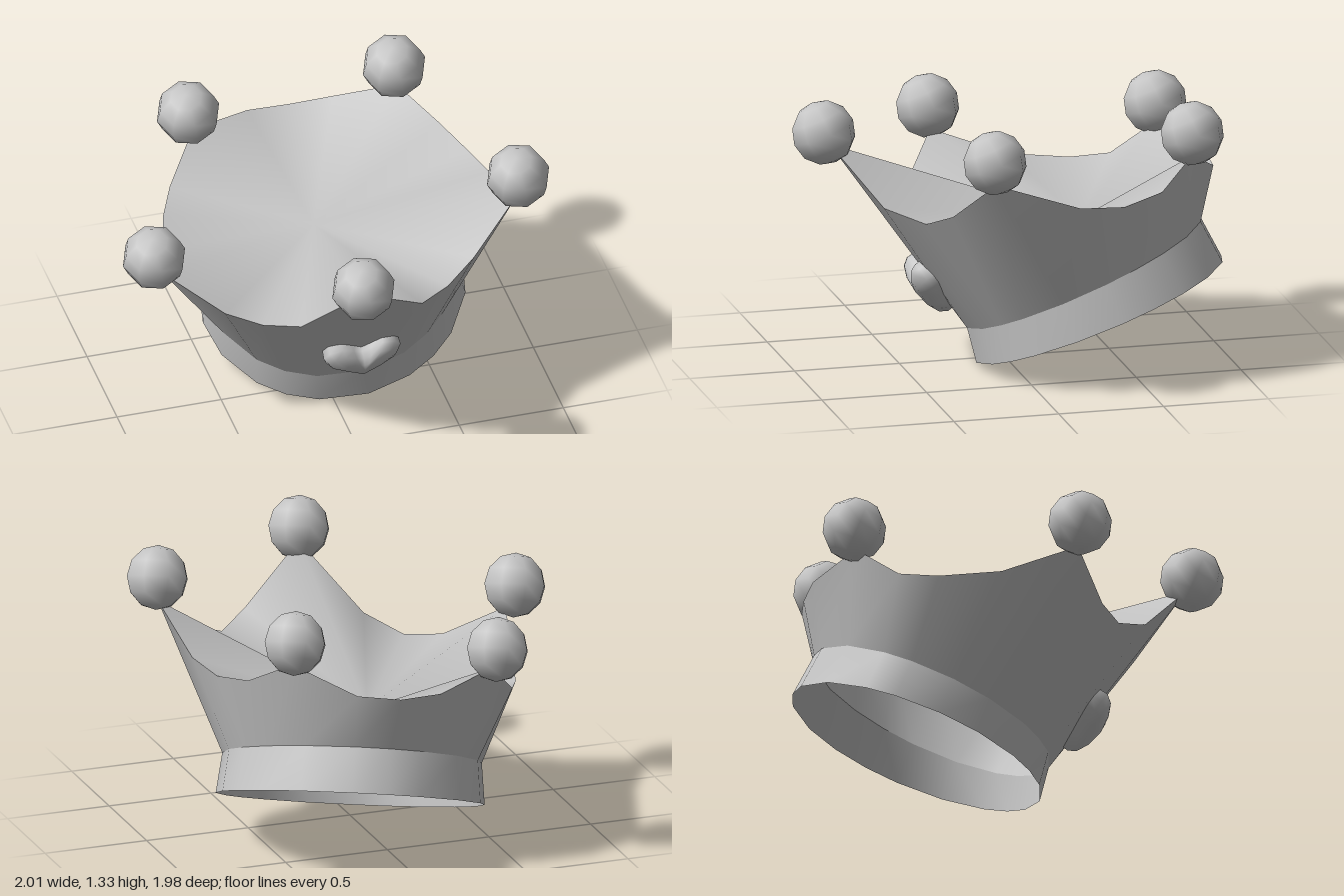
import * as THREE from 'three';

const V = (x, y, z) => new THREE.Vector3(x, y, z);
const axis = V(-0.175, 0.923, 0.342).normalize(); // the crown is tipped back and to one side
const base = V(0.15, 0.235, -0.41); // middle of the bottom opening

// Surface through a list of loops; an optional apex closes the last one
function loft(loops, apex) {
  const n = loops[0].length;
  const points = loops.flat();
  const index = [];
  for (let k = 0; k < loops.length - 1; k++) {
    for (let i = 0; i < n; i++) {
      const a = k * n + i, b = k * n + (i + 1) % n;
      index.push(a, b, b + n, a, b + n, a + n);
    }
  }
  if (apex) {
    const last = (loops.length - 1) * n;
    for (let i = 0; i < n; i++) index.push(last + i, last + (i + 1) % n, points.length);
    points.push(apex);
  }
  const g = new THREE.BufferGeometry().setFromPoints(points);
  g.setIndex(index);
  g.computeVertexNormals();
  return g;
}

// Rim: each row is a peak followed by the three points of its valley
const rim = [
  [-0.05, 1.06, 0.82], [0.28, 0.83, 0.645], [0.45, 0.79, 0.49], [0.6, 0.86, 0.4],
  [0.85, 1.07, 0.26], [0.83, 0.925, -0.15], [0.79, 0.905, -0.37], [0.71, 0.94, -0.57],
  [0.56, 1.06, -0.75], [0.3, 0.93, -0.92], [0.1, 0.9, -0.955], [-0.1, 0.905, -0.955],
  [-0.4, 0.95, -0.82], [-0.56, 0.77, -0.65], [-0.64, 0.74, -0.48], [-0.72, 0.755, -0.2],
  [-0.82, 0.87, 0.14], [-0.57, 0.71, 0.31], [-0.42, 0.69, 0.42], [-0.28, 0.76, 0.576],
].map((p) => V(...p));

// Circle around the axis, lined up with the rim points; slant lowers its front
function ringLoop(height, radius, slant) {
  return rim.map((p) => {
    const out = p.clone().sub(base).projectOnPlane(axis).normalize();
    const h = height + slant * (0.3 * out.x - out.z);
    return base.clone().addScaledVector(axis, h).addScaledVector(out, radius);
  });
}

// Pillowy heart, tip down
function heartGeometry() {
  const half = [[0, -0.168], [0.06, -0.105], [0.12, -0.045], [0.17, 0.01], [0.182, 0.06], [0.155, 0.115], [0.095, 0.13], [0.04, 0.095]];
  const outline = [...half, [0, 0.065], ...half.slice(1).reverse().map(([x, y]) => [-x, y])];
  const loop = (s, z) => outline.map(([x, y]) => V(x * s, y * s, z));
  return loft([loop(0.98, -0.05), loop(1, 0.01), loop(0.85, 0.045), loop(0.5, 0.07)], V(0, 0, 0.08));
}

export function createModel() {
  const crown = new THREE.Group();
  crown.name = 'crown';
  const silver = new THREE.MeshStandardMaterial({ color: 0xc4c4c4, side: THREE.DoubleSide });
  silver.name = 'silver grey';
  const add = (name, geometry) => {
    const mesh = new THREE.Mesh(geometry, silver);
    mesh.name = name;
    crown.add(mesh);
    return mesh;
  };

  // Band, flared wall and the sunken lining inside the points
  const waist = ringLoop(0.19, 0.6, 0.025);
  add('baseBand', loft([ringLoop(0, 0.622, 0), waist]));
  add('crownWall', loft([waist, rim]));
  add('innerLining', loft([rim], V(0.045, 0.645, -0.35)));

  // Balls on the peaks, leaning with the crown
  const ball = new THREE.SphereGeometry(0.15, 8, 6);
  const centres = [[-0.06, 1.115, 0.845], [0.85, 1.18, 0.265], [0.548, 1.165, -0.755], [-0.42, 1.04, -0.83], [-0.863, 0.97, 0.14]];
  centres.forEach((c, i) => {
    const mesh = add('peakBall' + (i + 1), ball);
    mesh.position.set(...c);
    mesh.quaternion.setFromUnitVectors(V(0, 1, 0), axis);
  });

  // Heart on the front of the wall
  const heart = add('heart', heartGeometry());
  heart.position.set(0.065, 0.4, 0.375);
  heart.rotation.set(0.6, 0, 0.12);

  return crown;
}
